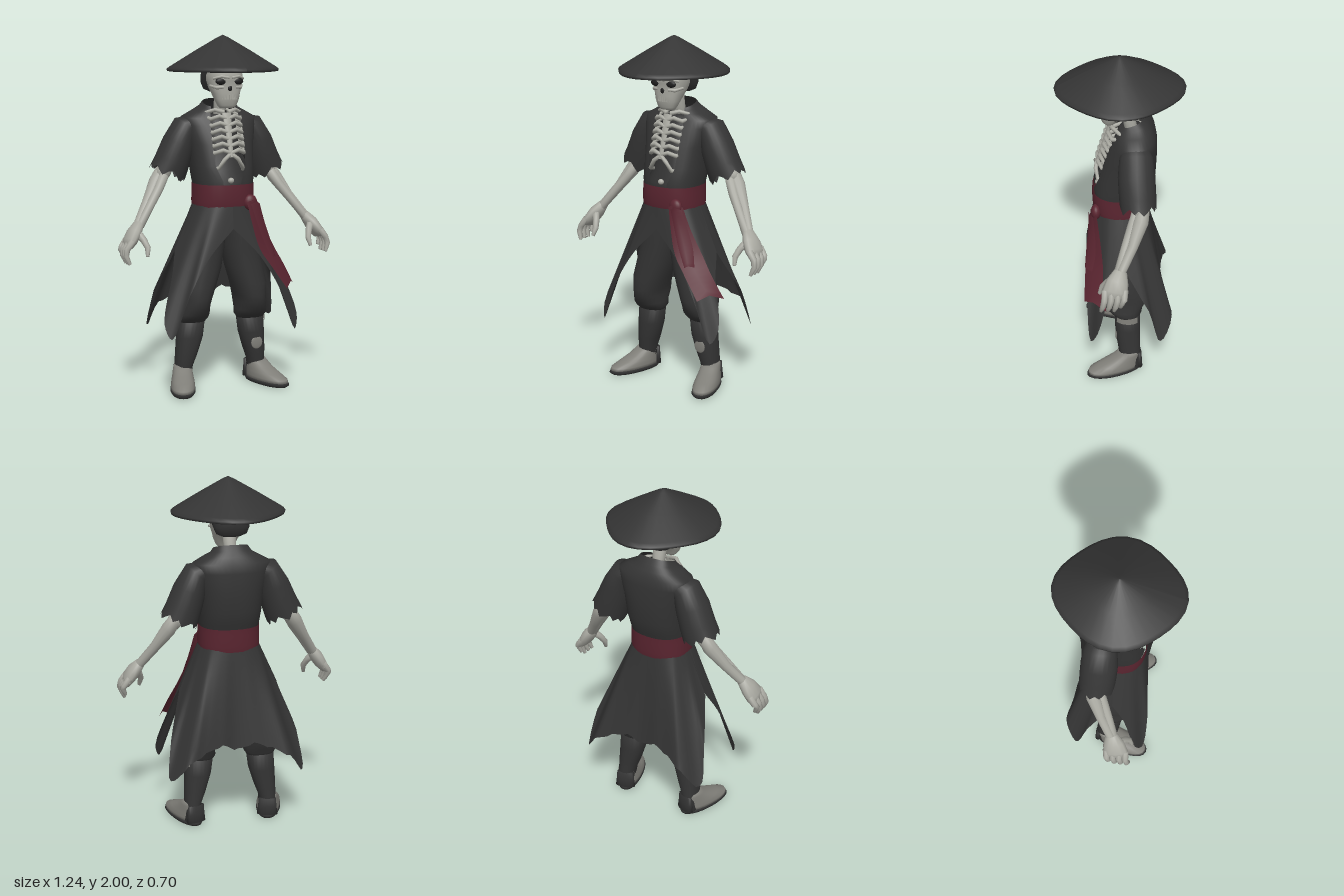
import * as THREE from 'three';

const V = (x, y, z) => new THREE.Vector3(x, y, z);
const mat = (name, color, side = THREE.FrontSide) => {
  const m = new THREE.MeshStandardMaterial({ color, side });
  m.name = name;
  return m;
};

// Joins equal-length rows of points into a smooth surface
function skin(rows, closed = true, caps = closed) {
  const n = rows[0].length, idx = [], pts = rows.flat();
  for (let i = 0; i < rows.length - 1; i++)
    for (let j = 0; j < (closed ? n : n - 1); j++) {
      const a = i * n + j, b = i * n + (j + 1) % n;
      idx.push(a, b, a + n, b, b + n, a + n);
    }
  if (caps) [0, rows.length - 1].forEach((r, top) => {
    const c = rows[r].reduce((s, p) => s.add(p), V(0, 0, 0)).divideScalar(n);
    const k = pts.push(c) - 1;
    for (let j = 0; j < n; j++) {
      const a = r * n + j, b = r * n + (j + 1) % n;
      idx.push(k, top ? a : b, top ? b : a);
    }
  });
  const g = new THREE.BufferGeometry().setFromPoints(pts);
  g.setIndex(idx);
  g.computeVertexNormals();
  return g;
}

// Level ring with half width rx between zFront and zBack
function ring(y, rx, zf, zb, cx = 0, p = 2, from = 0, to = Math.PI * 2, n = 24, tilt = 0) {
  const full = to - from > 6.28, out = [];
  for (let j = 0; j < n; j++) {
    const t = from + (to - from) * j / (full ? n : n - 1);
    const s = Math.sin(t), c = Math.cos(t);
    const k = Math.sign(c) * Math.abs(c) ** (2 / p);
    out.push(V(cx + rx * Math.sign(s) * Math.abs(s) ** (2 / p), y - tilt * (k + 1) / 2, (zf + zb) / 2 + (zf - zb) / 2 * k));
  }
  return out;
}

// Round limb through [x, y, z, radius, radiusTowardsRef]
function limb(pts, { n = 12, ref = V(0, 0, 1), caps = true, ragged = 0 } = {}) {
  const c = pts.map(p => V(p[0], p[1], p[2])), last = pts.length - 1;
  return skin(pts.map((p, i) => {
    const T = c[Math.min(i + 1, last)].clone().sub(c[Math.max(i - 1, 0)]).normalize();
    const U = ref.clone().addScaledVector(T, -ref.dot(T)).normalize(), W = T.clone().cross(U);
    return Array.from({ length: n }, (_, j) => {
      const a = j / n * Math.PI * 2, tear = i === last ? ragged * ((j * 7) % 5 - 2) / 2 : 0;
      return c[i].clone().addScaledVector(U, Math.cos(a) * (p[4] ?? p[3]))
        .addScaledVector(W, Math.sin(a) * p[3]).addScaledVector(T, tear);
    });
  }), true, caps);
}

// Hanging cloth between a waist line and a hem; columns are [topX, topZ, hemX, hemY, hemZ]
function drape(cols, topY, torn = 0) {
  const top = new THREE.CatmullRomCurve3(cols.map(c => V(c[0], topY, c[1])));
  const hem = new THREE.CatmullRomCurve3(cols.map(c => V(c[2], c[3], c[4])));
  const n = (cols.length - 1) * 4 + 1, rows = [];
  for (let i = 0; i <= 8; i++) rows.push(Array.from({ length: n }, (_, j) => {
    const u = j / (n - 1), h = hem.getPoint(u);
    h.y -= torn * ((j * 3) % 4 - 1.5);
    return top.getPoint(u).lerp(h, 1 - i / 8);
  }));
  return skin(rows, false);
}

function mirrored(g) {
  const m = g.clone().scale(-1, 1, 1), a = m.index.array;
  for (let i = 0; i < a.length; i += 3) [a[i], a[i + 1]] = [a[i + 1], a[i]];
  m.computeVertexNormals();
  return m;
}

const ball = (x, y, z, sx, sy, sz) => new THREE.SphereGeometry(1, 20, 14).scale(sx, sy, sz).translate(x, y, z);

export function createModel() {
  const model = new THREE.Group();
  const cloth = mat('dark cloth', 0x343434, THREE.DoubleSide);
  const bone = mat('bone', 0xa9a9a1);
  const sash = mat('red sash', 0x5a2530, THREE.DoubleSide);
  const shoe = mat('grey shoe', 0x7f7e78, THREE.DoubleSide);
  const hollow = mat('hollow', 0x1f1f1f);
  const add = (name, g, m) => {
    const mesh = new THREE.Mesh(g, m);
    mesh.name = name;
    model.add(mesh);
  };
  const both = (name, g, m) => {
    add(name + 'Left', g, m);
    add(name + 'Right', mirrored(g), m);
  };

  // Conical hat, hollow below, drawn in on the diagonals
  const profile = [[0, 1.94], [0.29, 1.815], [0.305, 1.8], [0.318, 1.802], [0.32, 1.815], [0.3, 1.829], [0.16, 1.913], [0.03, 1.987], [0, 2]];
  const hat = new THREE.LatheGeometry(profile.map(p => new THREE.Vector2(...p)), 32);
  const hp = hat.attributes.position;
  for (let i = 0; i < hp.count; i++) {
    const k = 1 - .075 * Math.sin(2 * Math.atan2(hp.getX(i), hp.getZ(i))) ** 2;
    hp.setXYZ(i, hp.getX(i) * k * .99, hp.getY(i), hp.getZ(i) * k * 1.095);
  }
  hat.computeVertexNormals();
  add('hat', hat, cloth);

  // Skull
  const face = [[1.6, .042, .088, .03], [1.615, .055, .1, .02], [1.65, .07, .108, 0], [1.68, .078, .112, -.03], [1.71, .09, .11, -.05],
    [1.75, .096, .113, -.08], [1.78, .098, .122, -.09], [1.84, .086, .1, -.08], [1.88, .05, .05, -.05]];
  add('face', skin(face.map(([y, rx, zf, zb]) => ring(y, rx, zf, zb, 0, 2.5))), bone);
  const hair = [[1.685, .05, -.06, -.105], [1.7, .085, -.03, -.125], [1.74, .102, 0, -.14], [1.78, .105, .04, -.142], [1.81, .104, .085, -.138],
    [1.85, .09, .08, -.115], [1.9, .06, .05, -.07], [1.93, .025, .02, -.03]];
  add('hair', skin(hair.map(([y, rx, zf, zb]) => ring(y, rx, zf, zb, 0, 2.3))), cloth);
  both('eyeSocket', ball(.048, 1.747, .1, .034, .02, .014), hollow);
  both('brow', limb([[.008, 1.768, .118, .007], [.05, 1.774, .113, .008], [.088, 1.762, .08, .007]], { ref: V(0, 1, 0) }), bone);
  both('cheekbone', limb([[.035, 1.715, .104, .008], [.068, 1.712, .09, .01], [.093, 1.722, .045, .008]], { ref: V(0, 1, 0) }), bone);
  add('noseHole', ball(0, 1.708, .108, .013, .016, .007), hollow);
  for (let i = -3; i <= 3; i++)
    add('tooth', new THREE.BoxGeometry(.011, .03, .008).translate(i * .013, 1.662, .108 - i * i * .0012), bone);
  add('neck', limb([[0, 1.5, -.07, .035], [0, 1.6, -.05, .034], [0, 1.72, -.02, .04]]), bone);

  // Dark inner body behind the rib cage
  add('innerBody', skin([[1.08, .155, .13, -.14], [1.19, .155, .125, -.14], [1.25, .13, .085, -.14], [1.4, .098, .06, -.14], [1.53, .09, .015, -.13], [1.56, .07, 0, -.12]]
    .map(([y, rx, zf, zb]) => ring(y, rx, zf, zb, 0, 2.4))), cloth);

  // Rib cage
  const chestZ = y => THREE.MathUtils.mapLinear(y, 1.28, 1.57, .146, .058);
  add('breastbone', limb([[0, 1.33, chestZ(1.33), .012, .008], [0, 1.45, chestZ(1.45), .018, .009], [0, 1.57, chestZ(1.57), .028, .01]]), bone);
  for (let i = 0; i < 6; i++) {
    const y = 1.355 + i * .037, z = chestZ(y);
    both('rib', limb([[.005, y, z, .01], [.045, y + .014, z - .002, .0125], [.085, y - .003, z - .022, .0125],
      [.11, y + .01, z - .085, .01], [.07, y + .04, -.12, .008]], { n: 8, ref: V(0, 1, 0) }), bone);
  }
  both('lowerRib', limb([[.008, 1.345, chestZ(1.34), .011], [.04, 1.32, .134, .012], [.07, 1.272, .125, .012], [.1, 1.25, .05, .009]], { n: 8, ref: V(0, 1, 0) }), bone);
  both('collarbone', limb([[.012, 1.575, .05, .013], [.06, 1.588, .035, .011], [.13, 1.56, -.03, .01]], { ref: V(0, 1, 0) }), bone);
  add('lowerSpineTip', ball(0, 1.2, .125, .018, .016, .015), bone);

  // Open jacket: [y, half width, front z, back z, half opening, forward drop]
  const jacket = [[1.14, .16, .145, -.15, .045, 0], [1.2, .17, .15, -.17, .055, 0], [1.28, .176, .132, -.195, .088, 0], [1.4, .188, .1, -.2, .095, 0],
    [1.5, .212, .062, -.2, .093, 0], [1.55, .215, .035, -.19, .088, .01], [1.585, .155, .028, -.17, .08, .015], [1.615, .112, .02, -.15, .074, .03], [1.645, .095, .012, -.125, .07, .045]];
  add('jacket', skin(jacket.map(([y, rx, zf, zb, gap, tilt]) => {
    const p = 2.5, t = Math.asin((gap / rx) ** (p / 2));
    return ring(y, rx, zf, zb, 0, p, t, Math.PI * 2 - t, 40, tilt);
  }), false), cloth);

  // Wide torn sleeves
  both('sleeve', limb([[.12, 1.525, -.08, .035, .06], [.195, 1.49, -.08, .075, .09], [.235, 1.4, -.08, .092, .1], [.272, 1.3, -.085, .1, .1], [.3, 1.235, -.088, .106, .098]],
    { n: 24, caps: false, ragged: .02 }), cloth);

  // Bony arms and hands
  both('upperArm', limb([[.19, 1.48, -.08, .035], [.26, 1.35, -.09, .03], [.32, 1.24, -.1, .045], [.34, 1.205, -.1, .035]]), bone);
  both('forearmOuter', limb([[.325, 1.25, -.115, .034], [.36, 1.19, -.1, .042], [.43, 1.08, -.055, .029], [.5, .975, .005, .026], [.515, .95, .015, .028]]), bone);
  both('forearmInner', limb([[.325, 1.22, -.08, .03], [.365, 1.15, -.05, .027], [.43, 1.06, -.012, .024], [.5, .96, .025, .024]]), bone);
  both('palm', limb([[.502, .97, .012, .028, .035], [.535, .925, .03, .038, .06], [.565, .88, .045, .034, .07], [.58, .85, .05, .022, .06]]), bone);
  for (let k = 0; k < 4; k++) {
    const z = -.008 + k * .035, d = k === 0 ? .025 : 0;
    both('finger', limb([[.565, .89, z, .02], [.598, .845, z + .005, .018], [.606, .81 + d, z + .014, .016], [.588, .765 + d, z + .024, .01]], { n: 8 }), bone);
  }
  both('thumb', limb([[.53, .935, .05, .024], [.498, .89, .085, .019], [.483, .85, .11, .017], [.49, .805, .128, .01]], { n: 8 }), bone);

  // Waist sash with knot and hanging ends
  add('waistSash', skin([[1.045, .17, .147, -.16], [1.08, .173, .155, -.165], [1.14, .17, .157, -.166], [1.178, .17, .155, -.168]]
    .map(([y, rx, zf, zb]) => ring(y, rx, zf, zb, 0, 2.4, 0, Math.PI * 2, 32)), true, false), sash);
  add('sashKnot', ball(.11, 1.075, .138, .04, .045, .028), sash);
  const ribbon = (edges) => skin([0, 1, 2].map(k => new THREE.CatmullRomCurve3(edges.map(([x, y, z, w, d, notch = 0]) =>
    V(x + w * k / 2, y + (k === 1 ? .012 + notch : 0), z - d * k / 2 + (k === 1 ? .014 : 0)))).getPoints(16)), false);
  add('sashEnd', ribbon([[.08, 1.08, .165, .075, .03], [.105, .96, .18, .09, .06], [.145, .82, .195, .12, .09], [.225, .7, .205, .11, .1], [.305, .585, .212, .095, .125, .02]]), sash);
  add('sashEndShort', ribbon([[.1, 1.07, .175, .06, .02], [.135, .96, .185, .06, .04], [.17, .86, .195, .06, .05], [.215, .76, .205, .04, .04]]), sash);

  // Long coat skirt: one back panel and two pointed front panels
  const back = [[0, -.155, 0, .5, -.235], [.05, -.152, .09, .53, -.245], [.095, -.14, .19, .5, -.262], [.13, -.115, .29, .45, -.288],
    [.152, -.08, .385, .335, -.222], [.164, -.04, .365, .55, -.15], [.167, .01, .285, .8, -.01]];
  add('coatBack', drape([...back.slice(1).reverse().map(c => [-c[0], c[1], -c[2], c[3], c[4]]), ...back], 1.07, .004), cloth);
  both('coatFront', drape([[0, .148, 0, .935, .165], [.05, .143, .15, .78, .18], [.09, .13, .27, .58, .195], [.125, .105, .37, .34, .18],
    [.15, .075, .4, .42, .14], [.163, .035, .325, .68, .06], [.167, -.01, .285, .81, -.01]], 1.07), cloth);

  // Baggy trousers and shin wraps: [y, centre x, half width, front z, back z]
  const leg = rows => skin(rows.map(([y, cx, rx, zf, zb]) => ring(y, rx, zf, zb, cx, 2.2)));
  both('trouserLeg', leg([[.385, .18, .077, .03, -.1], [.41, .178, .092, .06, -.12], [.44, .175, .09, .09, -.125], [.49, .17, .086, .112, -.155], [.53, .165, .09, .12, -.15],
    [.6, .154, .102, .12, -.13], [.7, .126, .106, .115, -.125], [.82, .1, .1, .115, -.13], [.95, .08, .085, .12, -.13], [1.08, .07, .08, .12, -.13]]), cloth);
  both('shin', leg([[.02, .228, .05, -.005, -.118], [.13, .222, .05, .015, -.113], [.2, .208, .063, .025, -.112], [.3, .19, .076, .036, -.112], [.42, .178, .08, .035, -.11]]), cloth);

  // Worn patches on the left leg
  add('shinPatch', ball(.2, .24, .0285, .035, .038, .006), shoe);
  add('kneePatch', skin([[.357, .185, .082], [.398, .179, .085]].map(([y, cx, rx], i) =>
    ring(y, rx, .048, -.118, cx, 2.2, .75 + i * .05, 2.3, 12, -.012)), false), shoe);

  // Shoes with dark soles, toes turned out
  const foot = rows => skin(rows.map(([y, rx, zf, zb]) => ring(y, rx, zf, zb, 0, 2.2))).rotateY(.32).translate(.225, 0, -.06);
  both('shoe', foot([[.018, .068, .27, -.055], [.04, .069, .265, -.055], [.065, .064, .2, -.054], [.09, .058, .135, -.052], [.115, .055, .09, -.051], [.135, .048, .06, -.045]]), shoe);
  both('sole', foot([[0, .064, .262, -.06], [.012, .072, .277, -.063], [.024, .07, .272, -.06]]), cloth);
  both('heelWrap', foot([[.02, .06, -.012, -.061], [.07, .054, -.015, -.058], [.12, .05, -.018, -.056]]), cloth);

  return model;
}
